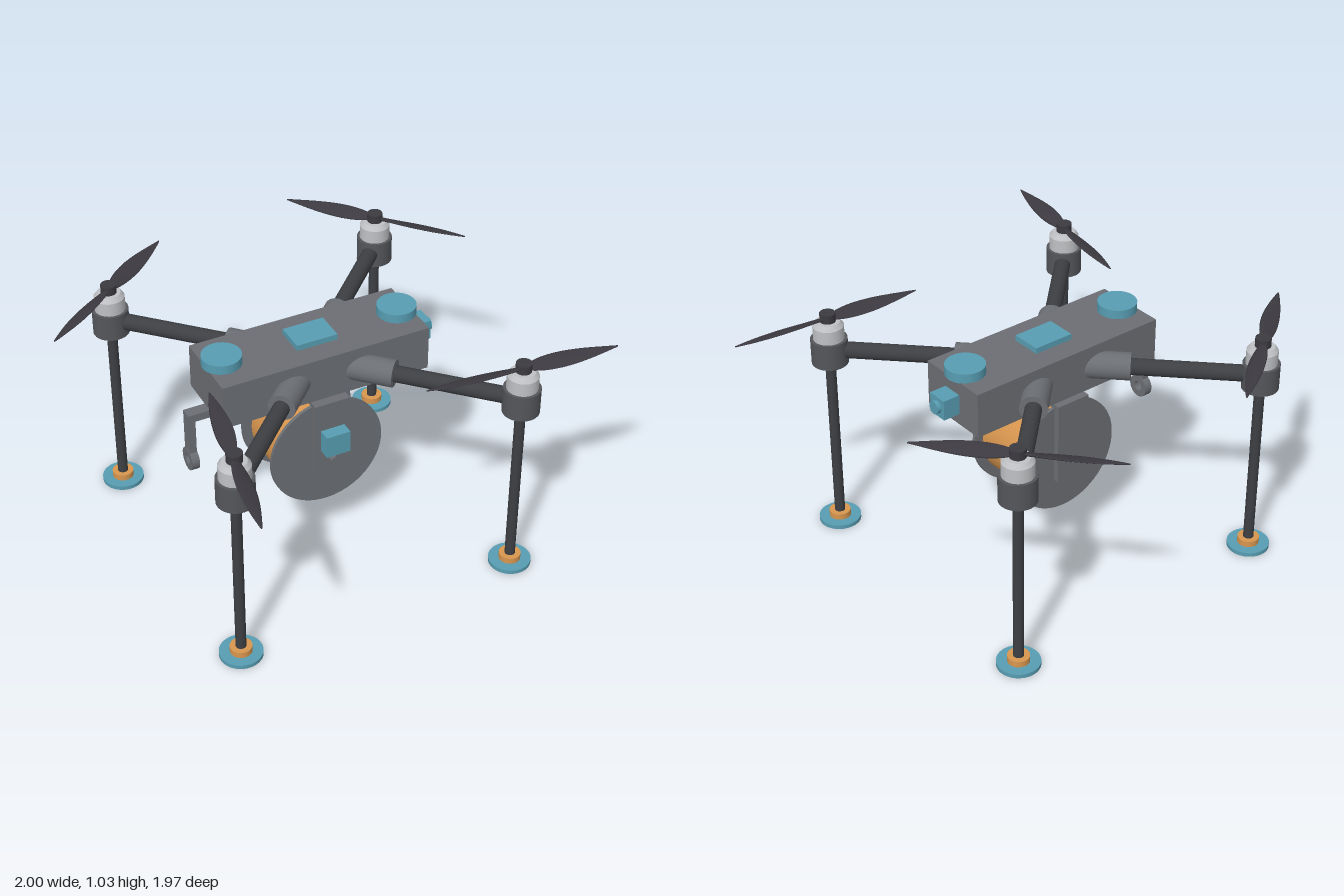
import * as THREE from 'three';

const paint = (name, color) => {
  const m = new THREE.MeshStandardMaterial({ color });
  m.name = name;
  return m;
};

export function createModel() {
  const grey = paint('frame grey', 0x6b6e73);
  const mountGrey = paint('mount grey', 0x54565a);
  const carbon = paint('carbon dark', 0x3d3f43);
  const bladeDark = paint('blade dark', 0x3c3a40);
  const silver = paint('motor silver', 0xbfc1c4);
  const blue = paint('sensor blue', 0x579db2);
  const copper = paint('copper orange', 0xd8964f);

  const CX = -0.04, CZ = -0.05; // centre of the airframe
  const model = new THREE.Group();
  model.name = 'quadcopter';

  const add = (name, geo, mat, x = 0, y = 0, z = 0, parent = model) => {
    const mesh = new THREE.Mesh(geo, mat);
    mesh.name = name;
    mesh.position.set(x, y, z);
    parent.add(mesh);
    return mesh;
  };
  // box given by its limits on each axis
  const block = (name, mat, x0, x1, y0, y1, z0, z1) =>
    add(name, new THREE.BoxGeometry(x1 - x0, y1 - y0, z1 - z0), mat,
      (x0 + x1) / 2, (y0 + y1) / 2, (z0 + z1) / 2);
  // upright cylinder between two heights
  const post = (name, mat, r0, r1, y0, y1, x, z, parent, seg = 32) =>
    add(name, new THREE.CylinderGeometry(r1, r0, y1 - y0, seg), mat, x, (y0 + y1) / 2, z, parent);
  // cylinder lying along z
  const drum = (name, mat, r, z0, z1, y, seg = 64) =>
    add(name, new THREE.CylinderGeometry(r, r, z1 - z0, seg).rotateX(Math.PI / 2), mat,
      CX, y, (z0 + z1) / 2);

  // body with the units on its top
  block('body', grey, -0.505, 0.42, 0.762, 0.96, -0.215, 0.112);
  for (const x of [-0.435, 0.355]) post('antennaDisc', blue, 0.083, 0.083, 0.958, 1.0, x, CZ, model, 48);
  block('topModule', blue, -0.132, 0.05, 0.955, 0.985, -0.118, 0.015);

  // camera on the left end
  block('camera', blue, 0.415, 0.496, 0.812, 0.9, -0.095, -0.005);
  add('cameraLens', new THREE.CylinderGeometry(0.028, 0.028, 0.03, 24).rotateZ(Math.PI / 2), blue, 0.498, 0.856, CZ);

  // spool slung under the body
  for (const z of [0.084, -0.197]) drum('spoolFlange', grey, 0.255, z, z + 0.015, 0.48);
  drum('spoolWinding', copper, 0.213, -0.183, 0.085, 0.48);
  drum('spoolAxle', grey, 0.018, -0.272, 0.178, 0.48, 20);
  block('bracketTop', grey, -0.12, 0.038, 0.745, 0.763, -0.245, 0.15);
  block('frontBracket', grey, -0.12, 0.038, 0.395, 0.763, 0.128, 0.153);
  block('backBracket', grey, -0.12, 0.038, 0.395, 0.763, -0.247, -0.222);
  block('spoolSensor', blue, -0.095, 0.012, 0.535, 0.635, 0.152, 0.208);

  // line guide: a rail with a hanging eyelet
  block('guideRail', grey, -0.6, -0.12, 0.727, 0.762, -0.076, -0.024);
  block('guideDrop', grey, -0.6, -0.57, 0.565, 0.758, -0.076, -0.024);
  const ring = new THREE.Shape().absarc(0, 0, 0.05, 0, Math.PI * 2);
  ring.holes.push(new THREE.Path().absarc(0, 0, 0.022, 0, Math.PI * 2, true));
  const ringGeo = new THREE.ExtrudeGeometry(ring, { depth: 0.034, bevelEnabled: false, curveSegments: 24 });
  add('guideEyelet', ringGeo.rotateY(Math.PI / 2), grey, -0.602, 0.53, CZ);

  // propeller blade: a tube reshaped into a tapered, twisted aerofoil
  const bladeGeometry = (spin) => {
    const geo = new THREE.CylinderGeometry(1, 1, 1, 12, 18).rotateZ(-Math.PI / 2);
    const p = geo.attributes.position;
    for (let i = 0; i < p.count; i++) {
      const t = p.getX(i) + 0.5;
      const swell = Math.pow(Math.sin(Math.PI * Math.pow(t, 0.8)), 0.9) || 0;
      const chord = 0.003 + 0.010 * (1 - t) + 0.029 * swell;
      const thick = 0.0025 + 0.005 * (1 - t);
      const twist = spin * (0.45 - 0.33 * t);
      const y = p.getY(i) * thick, z = p.getZ(i) * chord;
      p.setXYZ(i, 0.015 + 0.4 * t,
        y * Math.cos(twist) - z * Math.sin(twist),
        y * Math.sin(twist) + z * Math.cos(twist));
    }
    geo.computeVertexNormals();
    return geo;
  };

  // cylinder running outward along a diagonal of the frame
  const diagonal = (name, mat, r, from, to, sx, sz) => {
    const geo = new THREE.CylinderGeometry(r, r, to - from, 28).rotateZ(Math.PI / 2);
    const mid = (from + to) / 2 * Math.SQRT1_2;
    add(name, geo, mat, CX + sx * mid, 0.858, CZ + sz * mid).rotation.y = Math.atan2(-sz, sx);
  };

  // four corners: side x, side z, and the direction of one blade
  const corners = [
    [-1, -1, 0.325, -0.245],
    [1, -1, 0.275, 0.31],
    [-1, 1, 0.08, -0.405],
    [1, 1, 0.415, 0.04],
  ];
  for (const [sx, sz, bx, bz] of corners) {
    diagonal('armSocket', grey, 0.058, 0.1, 0.36, sx, sz);
    diagonal('arm', carbon, 0.035, 0.3, 0.85, sx, sz);

    const corner = new THREE.Group();
    corner.name = 'rotorAndLeg';
    corner.position.set(CX + sx * 0.625, 0, CZ + sz * 0.625);
    model.add(corner);
    post('motorMount', mountGrey, 0.077, 0.077, 0.798, 0.912, 0, 0, corner);
    post('motor', silver, 0.065, 0.065, 0.91, 0.972, 0, 0, corner);
    post('motorShoulder', silver, 0.065, 0.05, 0.972, 0.992, 0, 0, corner);
    post('propellerHub', bladeDark, 0.033, 0.033, 0.99, 1.03, 0, 0, corner, 24);
    post('leg', carbon, 0.022, 0.022, 0.03, 0.8, 0, 0, corner, 24);
    post('footCollar', copper, 0.046, 0.046, 0.016, 0.045, 0, 0, corner);
    post('footPad', blue, 0.09, 0.09, 0, 0.018, 0, 0, corner, 40);

    const propeller = new THREE.Group();
    propeller.name = 'propeller';
    propeller.position.y = 1.005;
    propeller.rotation.y = Math.atan2(-bz, bx);
    corner.add(propeller);
    const blade = bladeGeometry(sx * sz);
    for (const turn of [0, Math.PI]) add('blade', blade, bladeDark, 0, 0, 0, propeller).rotation.y = turn;
  }
  return model;
}
